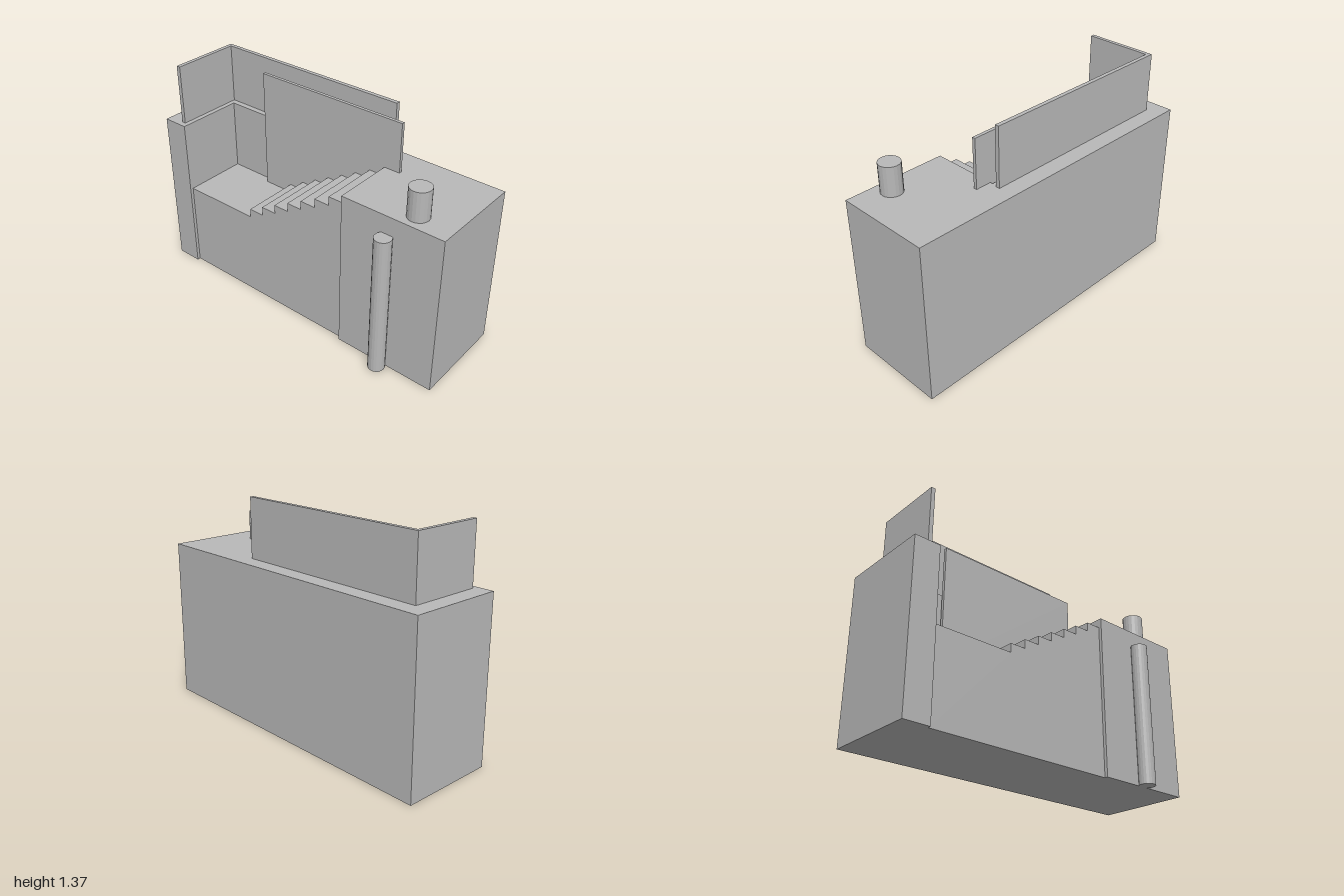
import * as THREE from 'three';

export function createModel() {
  const model = new THREE.Group();
  model.name = 'stairBlock';
  const concrete = new THREE.MeshStandardMaterial({ color: 0xb8b8b8 });
  concrete.name = 'concrete grey';

  function add(name, geometry, x = 0, y = 0, z = 0) {
    const mesh = new THREE.Mesh(geometry, concrete);
    mesh.name = name;
    mesh.position.set(x, y, z);
    model.add(mesh);
  }
  // Box given by its limits on each axis
  function box(name, [x0, x1], [y0, y1], [z0, z1]) {
    add(name, new THREE.BoxGeometry(x1 - x0, y1 - y0, z1 - z0),
      (x0 + x1) / 2, (y0 + y1) / 2, (z0 + z1) / 2);
  }
  // Faceted upright post
  function post(name, radius, y0, y1, x, z) {
    const geometry = new THREE.CylinderGeometry(radius, radius, y1 - y0, 20).toNonIndexed();
    geometry.computeVertexNormals();
    add(name, geometry, x, (y0 + y1) / 2, z);
  }

  const floorY = 0.553, topY = 1, backZ = -0.335, wellZ = -0.17, frontZ = 0.25;
  const leftX = -0.84, rightX = 0.365;

  // Solid block around the stairwell
  box('backBlock', [-1, 1], [0, topY], [backZ, wellZ]);
  box('landingSideBlock', [-1, leftX], [0, topY], [wellZ, frontZ]);
  box('upperSideBlock', [rightX, 1], [0, topY], [wellZ, frontZ]);

  // Landing and stairs as one extruded profile
  const steps = 8, firstX = -0.335, run = 0.1, rise = (topY - floorY) / steps;
  const profile = new THREE.Shape();
  profile.moveTo(leftX, 0);
  profile.lineTo(rightX, 0);
  profile.lineTo(rightX, topY - rise);
  for (let i = steps - 1; i > 0; i--) {
    const x = firstX + (i - 1) * run;
    profile.lineTo(x, floorY + i * rise);
    profile.lineTo(x, floorY + (i - 1) * rise);
  }
  profile.lineTo(leftX, floorY);
  profile.closePath();
  add('landingAndStairs',
    new THREE.ExtrudeGeometry(profile, { depth: 0.23 - wellZ, bevelEnabled: false }), 0, 0, wellZ);

  // Parapet walls and the tall panel beside the stairs
  box('backParapet', [-0.895, 0.375], [topY, 1.365], [-0.23, -0.205]);
  box('sideParapet', [-0.895, -0.87], [topY, 1.365], [-0.205, 0.215]);
  box('stairPanel', [-0.535, 0.465], [floorY, 1.302], [-0.153, -0.133]);

  // Round posts
  post('roofPost', 0.063, topY, 1.178, 0.78, 0.15);
  post('frontPost', 0.05, 0, 0.89, 0.664, 0.285);

  return model;
}
